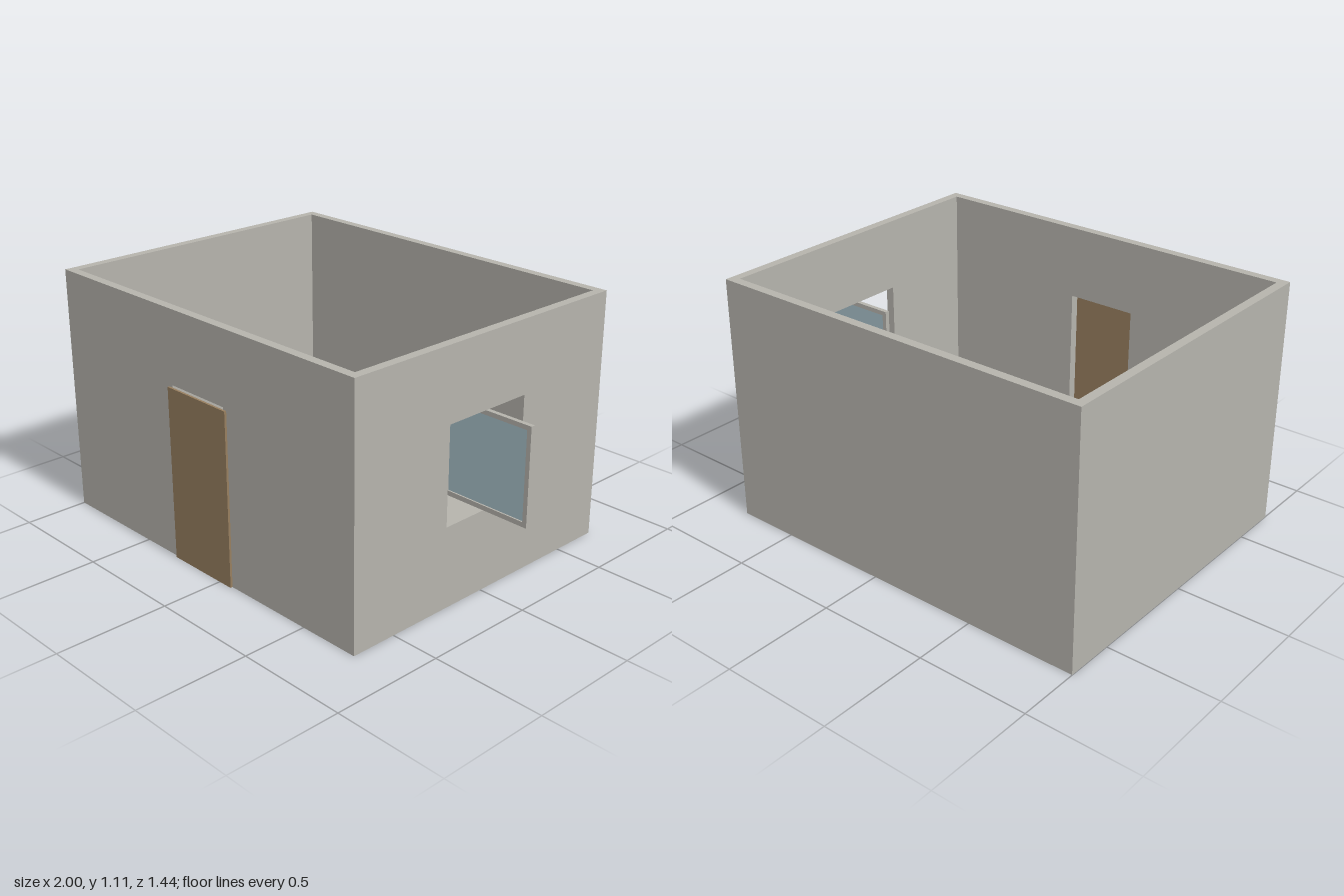
import * as THREE from 'three';

const material = (name, color) => {
  const m = new THREE.MeshStandardMaterial({ color });
  m.name = name;
  return m;
};

export function createModel() {
  const plaster = material('grey plaster', 0xb5b3ac);
  const wood = material('brown wood', 0x977e5f);
  const glass = material('pale blue glass', 0xa8c0c9);
  const blue = material('chair blue', 0x6f8fa8);

  const room = new THREE.Group();
  room.name = 'room';

  const add = (parent, name, geometry, mat) => {
    const mesh = new THREE.Mesh(geometry, mat);
    mesh.name = name;
    parent.add(mesh);
    return mesh;
  };
  // Box given by its limits on each axis
  const box = (parent, name, mat, [x0, x1], [y0, y1], [z0, z1]) => {
    const mesh = add(parent, name, new THREE.BoxGeometry(x1 - x0, y1 - y0, z1 - z0), mat);
    mesh.position.set((x0 + x1) / 2, (y0 + y1) / 2, (z0 + z1) / 2);
    return mesh;
  };
  const group = (name) => {
    const g = new THREE.Group();
    g.name = name;
    room.add(g);
    return g;
  };
  const points = (list) => list.map(([x, y]) => new THREE.Vector2(x, y));

  const T = 0.04, H = 1.11;           // wall thickness and height
  const X0 = -1, X1 = 0.78, Z0 = -0.72, Z1 = 0.71;
  const extrude = (shape, depth) => new THREE.ExtrudeGeometry(shape, { depth, bevelEnabled: false });

  // Shell: floor and plain walls
  box(room, 'floor', plaster, [X0 + T, X1 - T], [0, 0.01], [Z0 + T, Z1 - T]);
  box(room, 'backWall', plaster, [X0, X1], [0, H], [Z0, Z0 + T]);
  box(room, 'rightWall', plaster, [X0, X0 + T], [0, H], [Z0 + T, Z1 - T]);

  // Front wall with the doorway cut out
  const front = new THREE.Shape(points([
    [X0, 0], [-0.27, 0], [-0.27, 0.785], [0.05, 0.785], [0.05, 0], [X1, 0], [X1, H], [X0, H],
  ]));
  add(room, 'frontWall', extrude(front, T), plaster).position.z = Z1 - T;
  box(room, 'threshold', plaster, [-0.27, 0.05], [0, 0.01], [Z1 - T, Z1]);

  // Left wall with the window opening
  const side = new THREE.Shape(points([[Z0 + T, 0], [Z1 - T, 0], [Z1 - T, H], [Z0 + T, H]]));
  side.holes.push(new THREE.Path(points([[-0.22, 0.36], [-0.22, 0.79], [0.215, 0.79], [0.215, 0.36]])));
  const leftWall = add(room, 'leftWall', extrude(side, T), plaster);
  leftWall.rotation.y = -Math.PI / 2;
  leftWall.position.x = X1;

  // Door leaf hung on the outside of the wall
  box(room, 'door', wood, [-0.29, 0.07], [0, 0.775], [Z1, 0.72]);

  // Window turned open about its middle
  const sash = group('pivotWindow');
  const frame = new THREE.Shape(points([[0.57, 0.362], [1, 0.362], [1, 0.788], [0.57, 0.788]]));
  frame.holes.push(new THREE.Path(points([[0.59, 0.383], [0.59, 0.768], [0.98, 0.768], [0.98, 0.383]])));
  add(sash, 'windowFrame', extrude(frame, 0.02), plaster).position.z = -0.015;
  box(sash, 'windowPane', glass, [0.59, 0.98], [0.383, 0.768], [-0.008, -0.002]);

  // Table
  const table = group('table');
  box(table, 'tableTop', wood, [-0.36, 0.14], [0.29, 0.31], [-0.15, 0.13]);
  for (const x of [-0.35, 0.11]) {
    for (const z of [-0.14, 0.1]) {
      box(table, 'tableLeg', wood, [x, x + 0.02], [0.01, 0.29], [z, z + 0.02]);
    }
  }

  // Chair pushed under the table, its back posts rising above the top
  const chair = group('chair');
  for (const x of [-0.19, -0.04]) {
    box(chair, 'chairBackPost', plaster, [x, x + 0.01], [0, 0.34], [0.06, 0.07]);
    box(chair, 'chairFrontLeg', plaster, [x, x + 0.01], [0, 0.17], [-0.085, -0.075]);
  }
  box(chair, 'chairSeat', blue, [-0.19, -0.03], [0.17, 0.18], [-0.085, 0.06]);
  box(chair, 'chairBackrest', blue, [-0.18, -0.04], [0.24, 0.335], [0.062, 0.068]);

  return room;
}
